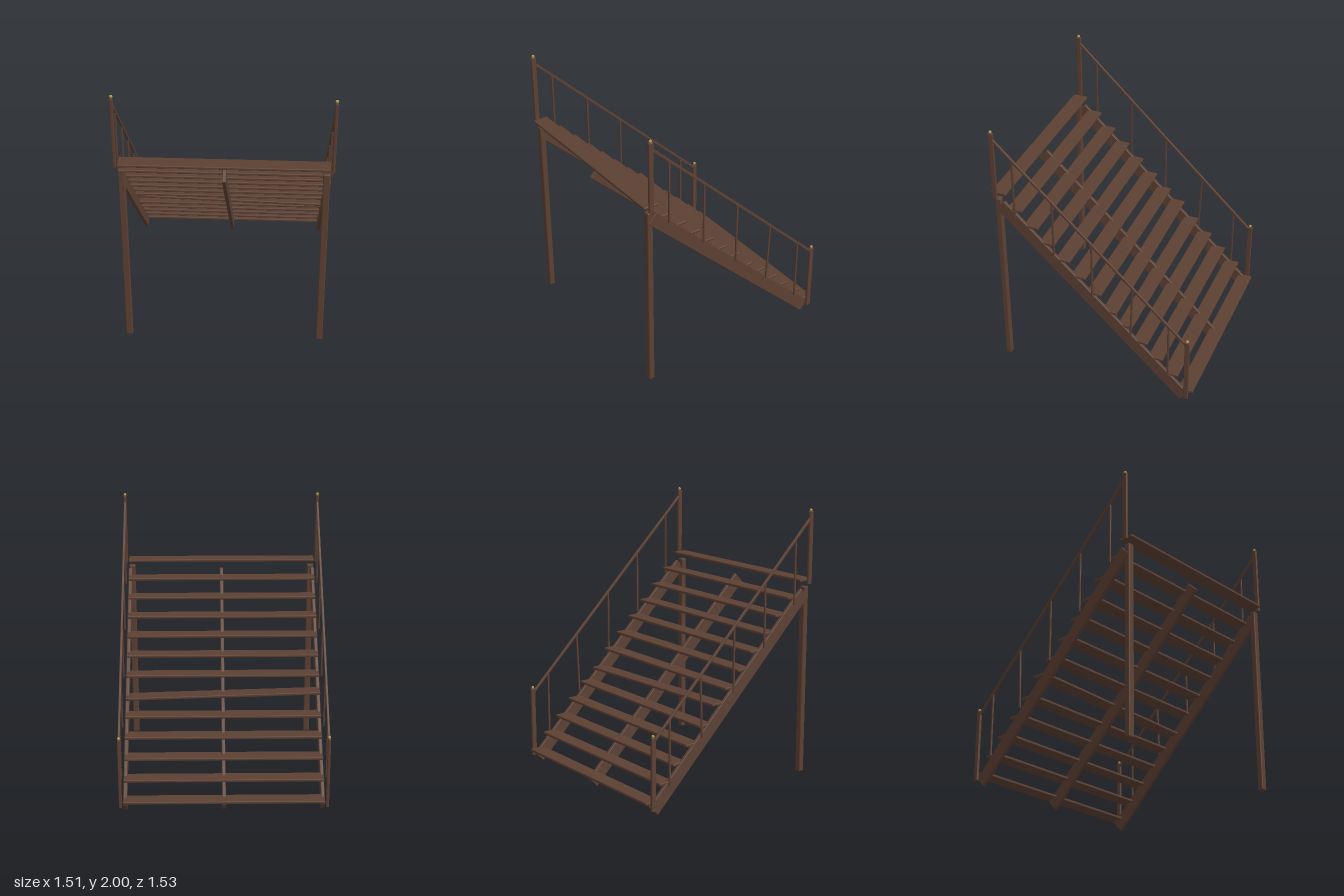
import * as THREE from 'three';
import { RoundedBoxGeometry } from 'three/addons/geometries/RoundedBoxGeometry.js';

export function createModel() {
  const model = new THREE.Group();
  model.name = 'staircase';
  const wood = new THREE.MeshStandardMaterial({ name: 'dark wood', color: 0x5c4033 });
  const brass = new THREE.MeshStandardMaterial({ name: 'brass', color: 0xb09a45 });

  // Softly rounded wooden beam
  function beam(name, w, h, d, x, y, z, r = 0.006) {
    const mesh = new THREE.Mesh(new RoundedBoxGeometry(w, h, d, 2, r), wood);
    mesh.name = name;
    mesh.position.set(x, y, z);
    model.add(mesh);
    return mesh;
  }

  // Beam running in the side plane between two [z, y] points
  function sideBeam(name, x, a, b, w, h, r) {
    const dz = b[0] - a[0], dy = b[1] - a[1];
    const mesh = beam(name, w, h, Math.hypot(dz, dy), x, (a[1] + b[1]) / 2, (a[0] + b[0]) / 2, r);
    mesh.rotation.x = -Math.atan2(dy, dz);
    return mesh;
  }

  // Treads, one of them knocked askew
  for (let i = 0; i < 13; i++) {
    const tread = beam('tread', 1.445, 0.021, 0.112, 0, 0.102 + i * 0.1145, -0.71 + i * 0.1182);
    if (i === 5) tread.rotation.z = -0.028;
  }

  // Sloping stringers
  for (const x of [-0.711, 0, 0.711]) {
    sideBeam('stringer', x, [-0.701, 0.037], [0.701, 1.383], 0.027, 0.1, 0.007);
  }

  for (const s of [-1, 1]) {
    // Tall legs under the upper end
    beam('leg', 0.048, 1.425, 0.043, s * 0.698, 0.715, 0.717, 0.008);

    // Railing end posts with brass knobs
    const x = s * 0.742;
    for (const [z, bottom] of [[0.723, 1.447], [-0.721, 0.048]]) {
      beam('railingPost', 0.021, 0.533, 0.036, x, bottom + 0.2665, z, 0.005);
      const knob = new THREE.Mesh(new THREE.SphereGeometry(0.011, 16, 12), brass);
      knob.name = 'knob';
      knob.position.set(x, bottom + 0.542, z);
      model.add(knob);
    }

    // Handrail
    sideBeam('handrail', x, [-0.715, 0.552], [0.715, 1.927], 0.017, 0.02, 0.004);

    // Balusters, the second from the bottom leaning
    for (let i = -2; i <= 2; i++) {
      const z = i * 0.289, y = 0.762 + i * 0.278;
      const lean = i === -1 ? 0.018 : 0;
      sideBeam('baluster', x, [z, y], [z - lean, y + 0.467], 0.013, 0.014, 0.003);
    }
  }
  return model;
}
